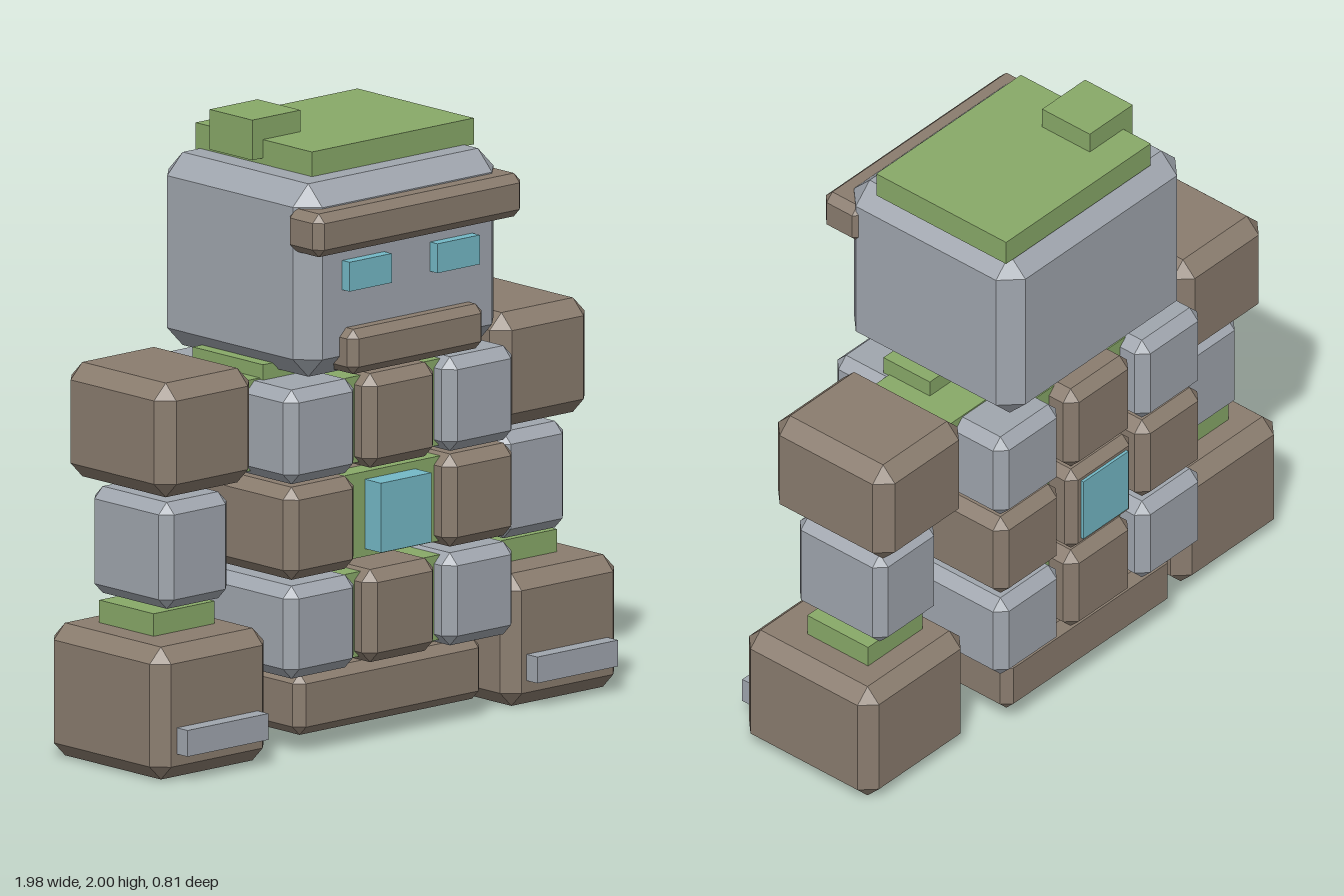
import * as THREE from 'three';
import { ConvexGeometry } from 'three/addons/geometries/ConvexGeometry.js';

const material = (name, color) => {
  const m = new THREE.MeshStandardMaterial({ color });
  m.name = name;
  return m;
};

// Box with flat chamfers of width c, made from its 24 corner points
function chamferedBox(w, h, d, c) {
  const points = [];
  for (const x of [-1, 1]) for (const y of [-1, 1]) for (const z of [-1, 1]) {
    const X = x * w / 2, Y = y * h / 2, Z = z * d / 2;
    points.push(
      new THREE.Vector3(X, Y - y * c, Z - z * c),
      new THREE.Vector3(X - x * c, Y, Z - z * c),
      new THREE.Vector3(X - x * c, Y - y * c, Z));
  }
  return new ConvexGeometry(points);
}

export function createModel() {
  const model = new THREE.Group();
  model.name = 'stoneGolem';
  const stone = material('greyStone', 0xa0a6ae);
  const brown = material('brownStone', 0x8a7c6e);
  const moss = material('moss', 0x88a968);
  const glow = material('blueCrystal', 0x74b9c6);

  // Block given by its x, y and z ranges; c is the chamfer
  function block(parent, name, mat, [x0, x1], [y0, y1], [z0, z1], c = 0) {
    const size = [x1 - x0, y1 - y0, z1 - z0];
    const geo = c ? chamferedBox(...size, c) : new THREE.BoxGeometry(...size);
    const mesh = new THREE.Mesh(geo, mat);
    mesh.name = name;
    mesh.position.set((x0 + x1) / 2, (y0 + y1) / 2, (z0 + z1) / 2);
    parent.add(mesh);
    return mesh;
  }
  const group = (name) => {
    const g = new THREE.Group();
    g.name = name;
    model.add(g);
    return g;
  };

  // Head with brow, jaw, eyes and a moss cap
  const head = group('head');
  block(head, 'skull', stone, [-0.43, 0.425], [1.225, 1.85], [-0.385, 0.335], 0.066);
  block(head, 'brow', brown, [-0.445, 0.44], [1.64, 1.78], [0.245, 0.405], 0.027);
  block(head, 'jaw', brown, [-0.29, 0.285], [1.235, 1.38], [0.25, 0.395], 0.027);
  block(head, 'rightEye', glow, [-0.28, -0.1], [1.505, 1.6], [0.3, 0.37]);
  block(head, 'leftEye', glow, [0.095, 0.275], [1.505, 1.6], [0.3, 0.37]);
  block(head, 'mossCap', moss, [-0.29, 0.4], [1.845, 1.93], [-0.34, 0.205]);
  block(head, 'mossTuft', moss, [-0.335, -0.13], [1.87, 2], [-0.225, -0.025]);

  // Torso: a checkered grid of stones with moss in the gaps
  const torso = group('torso');
  const columns = [[-0.49, -0.19], [-0.155, 0.15], [0.185, 0.485]];
  const rows = [[0.895, 1.2], [0.585, 0.885], [0.265, 0.565]];
  rows.forEach((ys, r) => {
    columns.forEach((xs, c) => {
      if (r === 1 && c === 1) return;
      const mat = (r + c) % 2 || r === 1 ? brown : stone;
      block(torso, 'torsoStone', mat, xs, ys, [-0.395, 0.325], 0.036);
    });
    block(torso, 'mossFilling', moss, [-0.22, 0.22], [ys[0] + 0.015, ys[1] - 0.01], [-0.3, 0.255]);
  });
  block(torso, 'centreStone', brown, [-0.155, 0.15], [0.58, 0.89], [-0.395, 0.2], 0.03);
  block(torso, 'crystalCore', glow, [-0.11, 0.105], [0.625, 0.85], [-0.405, 0.33]);
  block(torso, 'shoulderMoss', moss, [-0.6, 0.6], [0.91, 1.205], [-0.2, 0.115]);
  block(torso, 'rightNeckMoss', moss, [-0.43, -0.2], [1.18, 1.25], [-0.2, 0.13]);
  block(torso, 'leftNeckMoss', moss, [0.3, 0.44], [1.18, 1.26], [-0.055, 0.14]);
  block(torso, 'base', brown, [-0.4, 0.395], [0.06, 0.26], [-0.34, 0.265], 0.03);
  block(torso, 'baseMoss', moss, [0.225, 0.4], [0.23, 0.28], [0, 0.2]);

  // Arms, mirrored
  for (const side of [-1, 1]) {
    const arm = group(side > 0 ? 'leftArm' : 'rightArm');
    const span = (a, b) => (side > 0 ? [a, b] : [-b, -a]);
    block(arm, 'shoulder', brown, span(0.513, 0.918), [0.895, 1.265], [-0.285, 0.205], 0.05);
    block(arm, 'forearm', stone, span(0.573, 0.862), [0.52, 0.865], [-0.22, 0.15], 0.035);
    block(arm, 'wristMoss', moss, span(0.6, 0.86), [0.41, 0.505], [-0.165, 0.09]);
    block(arm, 'fist', brown, span(0.504, 0.99), [0.003, 0.432], [-0.283, 0.262], 0.048);
    block(arm, 'knuckle', stone, span(0.573, 0.918), [0.09, 0.175], [0.22, 0.312]);
  }
  return model;
}
